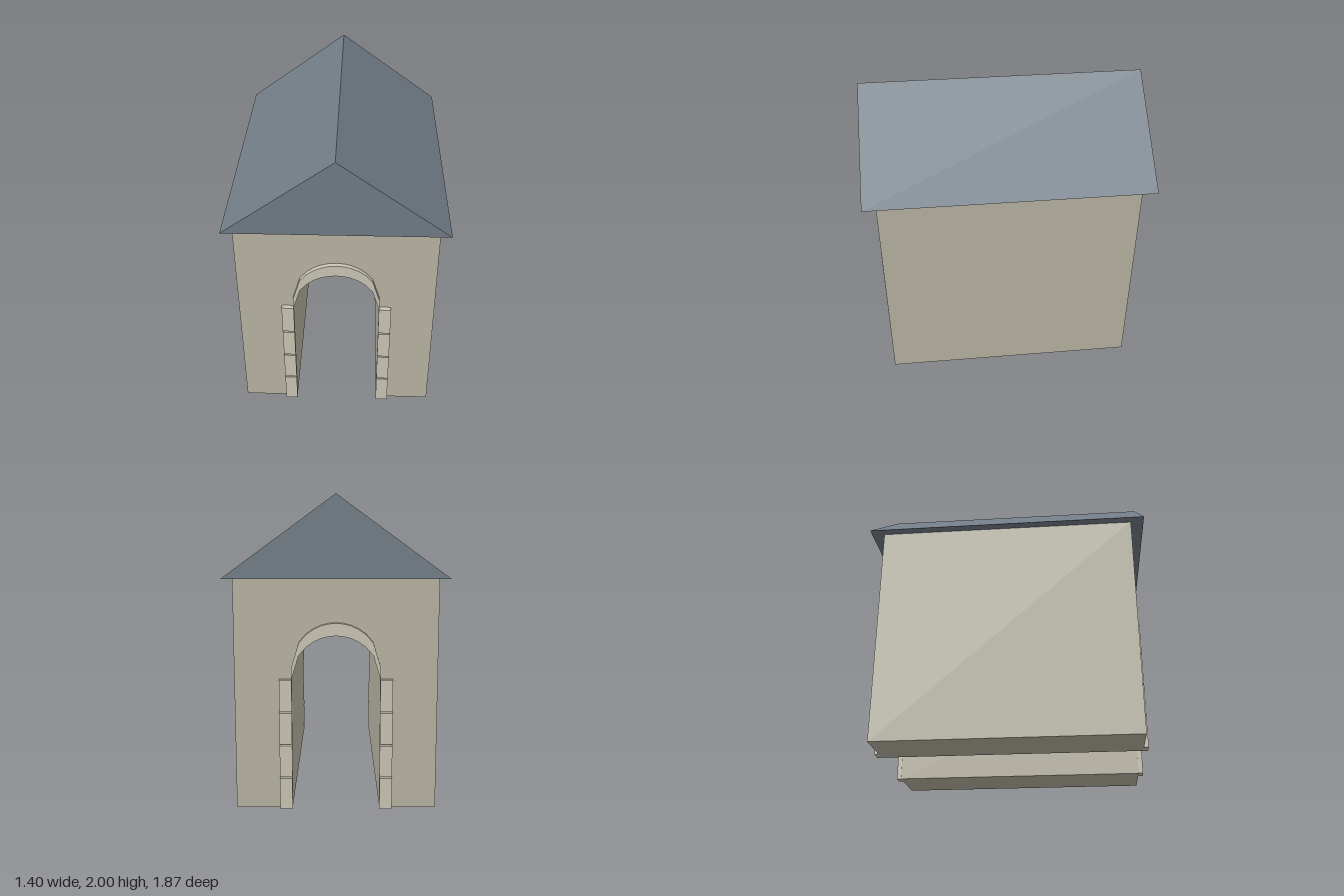
import * as THREE from 'three';

const HALF_W = 0.64, HALF_D = 0.85, EAVES = 1.495;
const ARCH_R = 0.28, SPRING = 0.85;
const TRIM_H = 0.08, TRIM_D = 0.03;

const wallMat = new THREE.MeshStandardMaterial({ color: 0xb8b3a2 });
const trimMat = new THREE.MeshStandardMaterial({ color: 0xcac5b4 });
const roofMat = new THREE.MeshStandardMaterial({ color: 0x717c86 });

function addMesh(parent, name, geometry, material) {
  const mesh = new THREE.Mesh(geometry, material);
  mesh.name = name;
  parent.add(mesh);
  return mesh;
}

// Extrudes a front outline from z0 over the given depth
function slab(shape, z0, depth, curveSegments = 24) {
  return new THREE.ExtrudeGeometry(shape, { depth, bevelEnabled: false, curveSegments }).translate(0, 0, z0);
}

// Wall outline with the arched passage running through it
function wallShape() {
  const s = new THREE.Shape();
  s.moveTo(-HALF_W, 0);
  s.lineTo(-ARCH_R, 0);
  s.lineTo(-ARCH_R, SPRING);
  s.absarc(0, SPRING, ARCH_R, Math.PI, 0, true);
  s.lineTo(ARCH_R, 0);
  s.lineTo(HALF_W, 0);
  s.lineTo(HALF_W, EAVES);
  s.lineTo(-HALF_W, EAVES);
  s.closePath();
  return s;
}

// Arch band: the arch curve at even steps in x, and the same curve raised
function archTrimShape(steps = 12) {
  const lower = [];
  for (let i = 0; i <= steps; i++) {
    const x = -ARCH_R + (2 * ARCH_R * i) / steps;
    lower.push(new THREE.Vector2(x, SPRING + Math.sqrt(Math.max(0, ARCH_R ** 2 - x * x))));
  }
  const upper = lower.map((p) => new THREE.Vector2(p.x, p.y + TRIM_H)).reverse();
  return new THREE.Shape([...lower, ...upper]);
}

export function createModel() {
  const model = new THREE.Group();
  model.name = 'gatehouse';

  addMesh(model, 'walls', slab(wallShape(), -HALF_D, 2 * HALF_D), wallMat);

  // Solid gable roof overhanging on all sides
  const gable = new THREE.Shape([
    new THREE.Vector2(-0.7, 1.49), new THREE.Vector2(0.7, 1.49), new THREE.Vector2(0, 2),
  ]);
  addMesh(model, 'roof', slab(gable, -0.935, 1.87), roofMat);

  // Stone trim around both ends of the passage
  const blockH = 0.205, pitch = 0.215, blockW = 0.08;
  for (const [end, dir] of [['front', 1], ['back', -1]]) {
    const surround = new THREE.Group();
    surround.name = `${end}Surround`;
    model.add(surround);
    const z = dir * (HALF_D + TRIM_D / 2);
    addMesh(surround, 'archTrim', slab(archTrimShape(), z - TRIM_D / 2, TRIM_D), trimMat);
    for (const [side, sx] of [['left', 1], ['right', -1]]) {
      for (let i = 0; i < 4; i++) {
        const block = addMesh(surround, `${side}JambBlock${i + 1}`,
          new THREE.BoxGeometry(blockW, blockH, TRIM_D), trimMat);
        block.position.set(sx * (ARCH_R + blockW / 2 - 0.002), i * pitch + blockH / 2, z);
      }
    }
  }
  return model;
}
